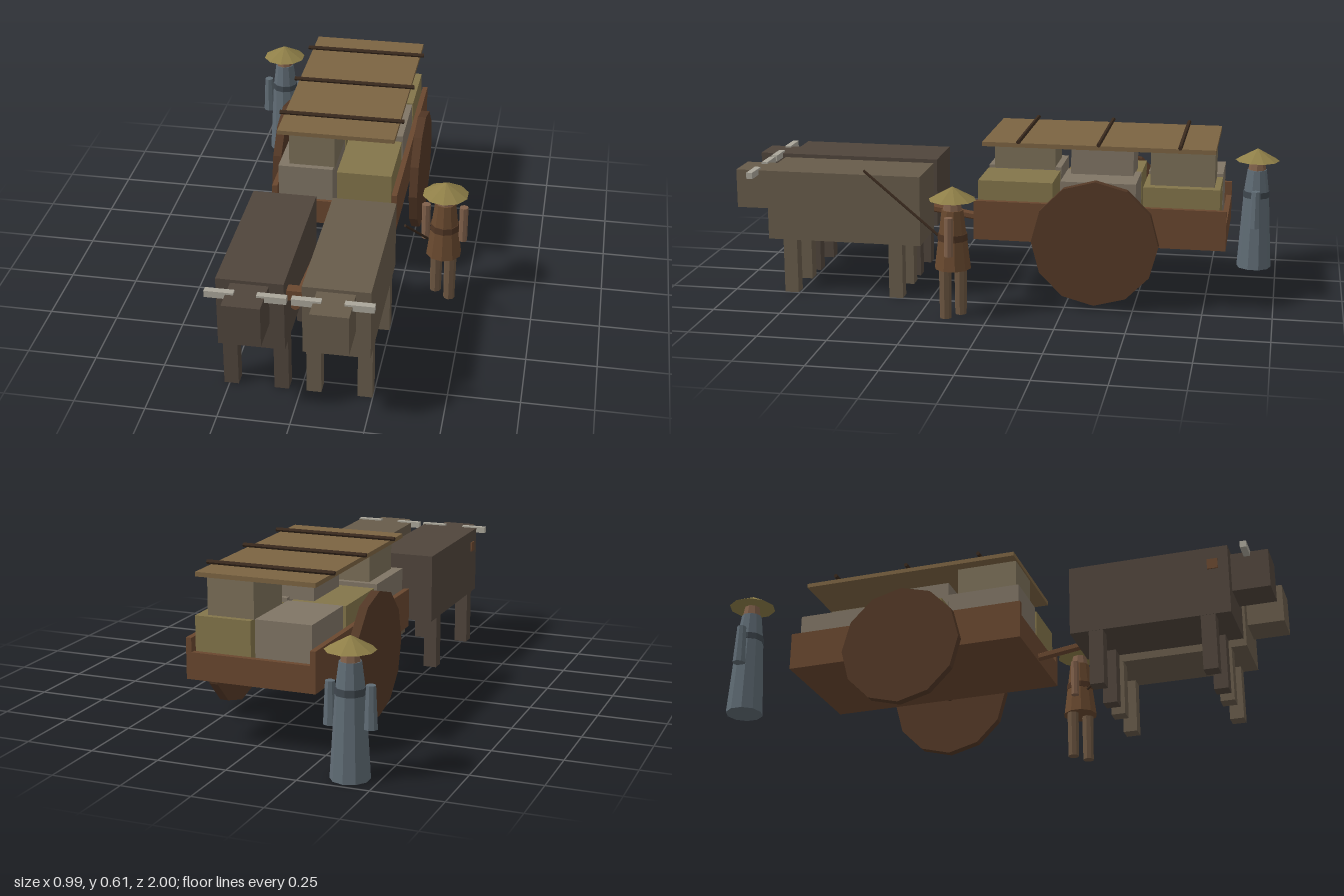
import * as THREE from 'three';

const mat = (color) => new THREE.MeshStandardMaterial({ color, flatShading: true });
const M = {
  wood: mat(0x69472f), darkWood: mat(0x533826), bar: mat(0x3a2a1e), mat: mat(0x7c6442),
  straw: mat(0x8f7f48), sack: mat(0x83754a), crate: mat(0x807565), bale: mat(0x7b6f58),
  oxDark: mat(0x50453c), oxLight: mat(0x675b4a), horn: mat(0xaaa69a),
  blue: mat(0x5f6b74), blueDark: mat(0x3e464d), brown: mat(0x69492f), brownDark: mat(0x4d3423),
  skin: mat(0x80604a), trousers: mat(0x6b5540),
};

function add(parent, name, geo, material) {
  const mesh = new THREE.Mesh(geo, material);
  mesh.name = name;
  parent.add(mesh);
  return mesh;
}

// Box given by its extents on each axis
function box(parent, name, material, [x0, x1], [y0, y1], [z0, z1]) {
  const m = add(parent, name, new THREE.BoxGeometry(x1 - x0, y1 - y0, z1 - z0), material);
  m.position.set((x0 + x1) / 2, (y0 + y1) / 2, (z0 + z1) / 2);
  return m;
}

// Upright tapered cylinder from y0 to y1
function column(parent, name, material, x, z, y0, y1, r0, r1, sides = 10) {
  const m = add(parent, name, new THREE.CylinderGeometry(r1, r0, y1 - y0, sides), material);
  m.position.set(x, (y0 + y1) / 2, z);
  return m;
}

// Round rod between two points
function rod(parent, name, material, a, b, r, sides = 6) {
  const p = new THREE.Vector3(...a), q = new THREE.Vector3(...b);
  const m = add(parent, name, new THREE.CylinderGeometry(r, r, p.distanceTo(q), sides), material);
  m.position.copy(p).lerp(q, 0.5);
  m.quaternion.setFromUnitVectors(new THREE.Vector3(0, 1, 0), q.sub(p).normalize());
  return m;
}

function group(parent, name, x = 0, z = 0) {
  const g = new THREE.Group();
  g.name = name;
  g.position.set(x, 0, z);
  parent.add(g);
  return g;
}

function addOx(root, name, x, material) {
  const g = group(root, name, x);
  box(g, 'body', material, [-0.115, 0.115], [0.205, 0.465], [0.285, 0.865]);
  box(g, 'head', material, [-0.065, 0.065], [0.308, 0.453], [0.865, 1]);
  for (const s of [-1, 1]) {
    const span = (a, b) => [Math.min(s * a, s * b), Math.max(s * a, s * b)];
    box(g, 'horn', M.horn, span(0.038, 0.137), [0.436, 0.46], [0.913, 0.936]);
    for (const z of [0.38, 0.783])
      box(g, 'leg', material, span(0.063, 0.114), [0, 0.21], [z - 0.026, z + 0.026]);
  }
}

function addCart(root) {
  const cart = group(root, 'cart', -0.01);

  // Bed: floor, tall sides and low end boards
  box(cart, 'floor', M.wood, [-0.235, 0.235], [0.235, 0.285], [-0.825, 0.09]);
  for (const s of [-1, 1]) {
    box(cart, 'sideBoard', M.wood, [s * 0.225 - 0.01, s * 0.225 + 0.01], [0.285, 0.38], [-0.825, 0.09]);
    const wheel = rod(cart, 'wheel', M.darkWood, [s * 0.252, 0.25, -0.36], [s * 0.284, 0.25, -0.36], 0.23, 12);
    wheel.quaternion.setFromEuler(new THREE.Euler(0, 0, Math.PI / 2));
  }
  for (const z of [-0.825, 0.07])
    box(cart, 'endBoard', M.wood, [-0.215, 0.215], [0.285, 0.33], [z, z + 0.02]);
  rod(cart, 'axle', M.darkWood, [-0.26, 0.25, -0.36], [0.26, 0.25, -0.36], 0.012, 8);

  // Cargo: two chequered columns below, one staggered row above
  const rows = [-0.06, -0.362, -0.662];
  rows.forEach((z, i) => {
    for (const s of [-1, 1]) {
      const crate = (i % 2 === 0) === (s < 0);
      box(cart, 'lowerCargo', crate ? M.crate : M.sack, [s * 0.11 - 0.102, s * 0.11 + 0.102],
        [0.285, crate ? 0.46 : 0.452], [z - 0.137, z + 0.137]);
    }
    const x = -0.09 + i * 0.09;
    box(cart, 'upperCargo', i === 1 ? M.crate : M.bale, [x - 0.085, x + 0.085], [0.45, 0.582], [z - 0.115, z + 0.115]);
  });

  // Mat cover held by three poles
  box(cart, 'matCover', M.mat, [-0.218, 0.218], [0.581, 0.597], [-0.78, 0.06]);
  for (const z of [-0.655, -0.365, -0.075])
    rod(cart, 'coverPole', M.bar, [-0.235, 0.604, z], [0.235, 0.604, z], 0.008);

  // Draw pole and yoke
  rod(cart, 'drawPole', M.wood, [0, 0.25, 0.06], [0, 0.362, 0.83], 0.016);
  box(cart, 'yoke', M.wood, [-0.265, 0.255], [0.38, 0.418], [0.79, 0.828]);
}

// Head and wide conical hat shared by both people
function addHead(g) {
  column(g, 'head', M.skin, 0, 0, 0.39, 0.45, 0.035, 0.025, 8);
  column(g, 'hat', M.straw, 0, 0, 0.43, 0.477, 0.085, 0.0005);
}

function addRobedWalker(root) {
  const g = group(root, 'robedWalker', -0.402, -0.915);
  column(g, 'robe', M.blue, 0, 0, 0, 0.3, 0.067, 0.049);
  column(g, 'torso', M.blue, 0, 0, 0.3, 0.393, 0.049, 0.037);
  column(g, 'belt', M.blueDark, 0, 0, 0.284, 0.308, 0.052, 0.051);
  for (const s of [-1, 1])
    column(g, 'sleeve', M.blue, s * 0.07, 0, 0.175, 0.32, 0.024, 0.017, 8);
  addHead(g);
}

function addDriver(root) {
  const g = group(root, 'driver', 0.409, 0.128);
  column(g, 'tunic', M.brown, 0, 0, 0.18, 0.393, 0.066, 0.039);
  column(g, 'belt', M.brownDark, 0, 0, 0.284, 0.308, 0.055, 0.053);
  for (const s of [-1, 1]) {
    column(g, 'leg', M.trousers, s * 0.028, s * 0.022, 0, 0.2, 0.021, 0.023, 8);
    column(g, 'arm', M.skin, s * 0.069, 0, 0.24, 0.38, 0.016, 0.016, 8);
  }
  rod(g, 'goad', M.bar, [-0.057, 0.262, 0.045], [-0.103, 0.495, 0.35], 0.005);
  addHead(g);
}

export function createModel() {
  const root = new THREE.Group();
  root.name = 'oxCart';
  addOx(root, 'rightOx', -0.155, M.oxDark);
  addOx(root, 'leftOx', 0.135, M.oxLight);
  addCart(root);
  addRobedWalker(root);
  addDriver(root);
  return root;
}
